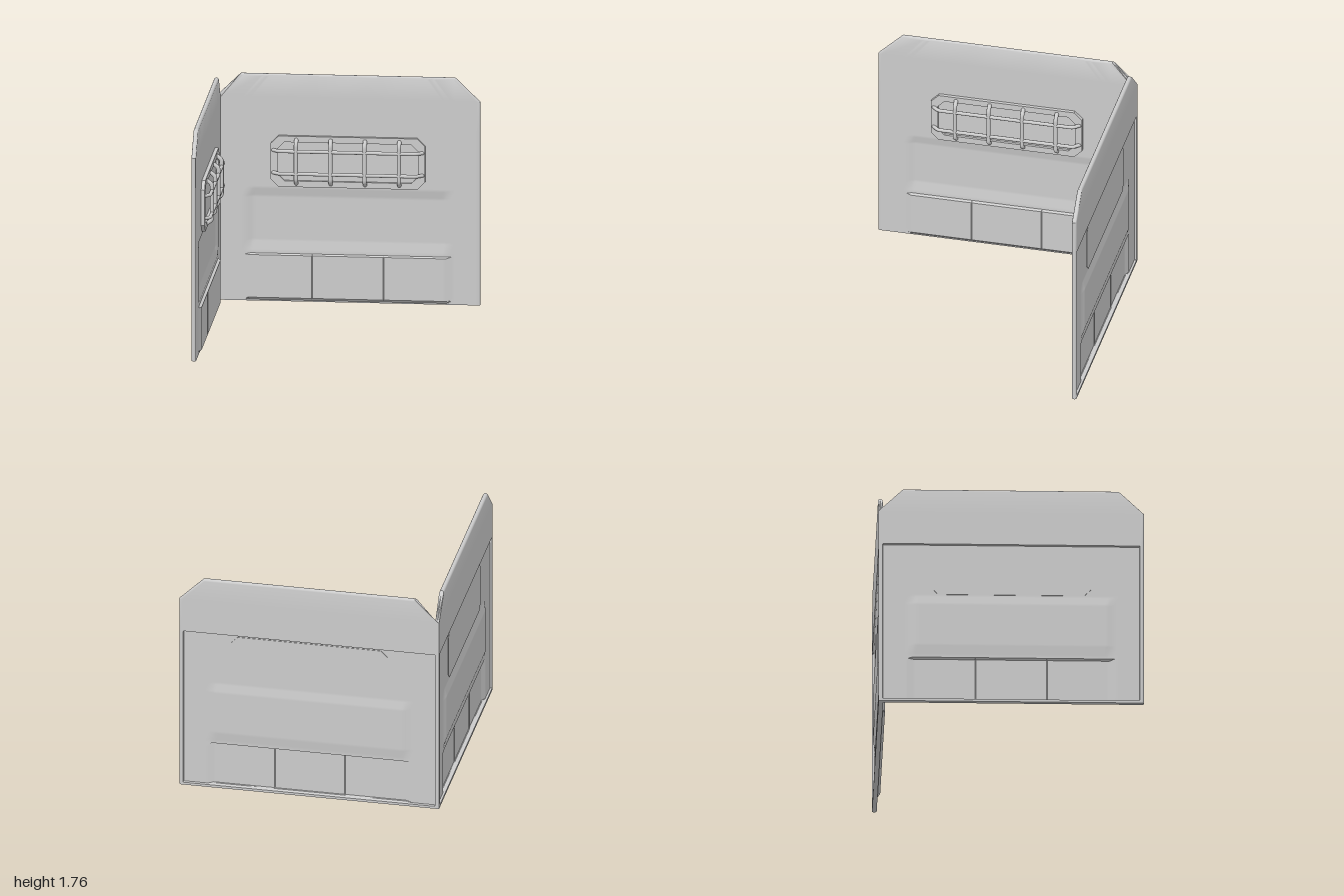
import * as THREE from 'three';
import { toCreasedNormals } from 'three/addons/utils/BufferGeometryUtils.js';

const material = new THREE.MeshStandardMaterial({ color: 0xcccccc, side: THREE.DoubleSide });
const TOP = 1.76, R = 0.0175, FRONT = -0.965, BACK = -1, MID = (FRONT + BACK) / 2;

const ramp = (v, a, b) => Math.min(1, Math.max(0, (v - a) / (b - a)));
const span = (v, a, b, c, d) => ramp(v, a, b) * ramp(v, d, c);

function mesh(name, geometry) {
  const m = new THREE.Mesh(geometry, material);
  m.name = name;
  return m;
}

// Pressed relief of the sheet: a recessed band and a bulging lower section with seams
const band = (x, y) => ramp(Math.abs(x), 0.78, 0.72) * span(y, 0.4, 0.46, 0.82, 0.87);
function bulge(x, y) {
  const seam = 1 - 0.25 * ramp(Math.abs(Math.abs(x) - 0.27), 0.004, 0);
  return ramp(Math.abs(x), 0.78, 0.74) * span(y, 0.01, 0.03, 0.36, 0.37) * seam;
}
const insideRim = (x, y) => ramp(Math.abs(x), 0.97, 0.965) * span(y, 0.02, 0.025, 1.3, 1.305);
const frontZ = (x, y) => FRONT - 0.02 * band(x, y) + 0.02 * bulge(x, y);
const backZ = (x, y) => BACK + insideRim(x, y) * (0.015 - 0.015 * band(x, y) + 0.02 * bulge(x, y));

// Closed sheet built as stacked loops; the side facing the corner is mitred
function sheetGeometry(corner) {
  const arc = [0, 1, 2, 3, 4].map(i => i * Math.PI / 8);
  const half = [0, 0.266, 0.27, 0.274, 0.5, 0.7, 0.72, 0.74, 0.78, 0.8, 0.965, 0.97];
  const edge = s => s === corner
    ? [[s, 1], [s, 0]]
    : arc.map(a => [s * (1 - R + R * Math.sin(a)), Math.cos(a)]);
  const cols = [
    ...edge(-1).reverse(),
    ...half.slice(1).reverse().map(x => [-x, 1]),
    ...half.map(x => [x, 1]),
    ...edge(1),
  ];
  const loop = [...cols.map(c => [...c, frontZ]), ...cols.slice().reverse().map(c => [...c, backZ])];
  const rows = [
    [0, 0],
    ...[0, 0.01, 0.02, 0.025, 0.03, 0.05, 0.34, 0.36, 0.37, 0.4, 0.46, 0.48, 0.8, 0.82, 0.87, 0.89,
      1.28, 1.3, 1.305, 1.32, 1.575].map(y => [y, 1]),
    ...arc.map(a => [TOP - R + R * Math.sin(a), Math.cos(a)]),
  ];
  const pos = [], index = [], n = loop.length;
  rows.forEach(([y, fy], j) => {
    const width = 1 - 0.19 * ramp(y, 1.575, TOP);
    loop.forEach(([c, fx, depth], i) => {
      let x = c * width;
      const z = MID + (depth(x, y) - MID) * fx * fy;
      if (corner * x > -z) x = -corner * z;
      pos.push(x, y, z);
      if (j < rows.length - 1) {
        const a = j * n + i, b = j * n + (i + 1) % n;
        index.push(a, b, b + n, a, b + n, a + n);
      }
    });
  });
  const g = new THREE.BufferGeometry();
  g.setAttribute('position', new THREE.Float32BufferAttribute(pos, 3));
  g.setIndex(index);
  return toCreasedNormals(g, 0.6);
}

// Rectangle with cut corners, centred on the window
function cutRect(Type, w, h, cut) {
  const cy = 1.09, pts = [];
  for (const [sx, sy] of [[1, -1], [1, 1], [-1, 1], [-1, -1]]) {
    const a = new THREE.Vector2(sx * (w - cut), cy + sy * h);
    const b = new THREE.Vector2(sx * w, cy + sy * (h - cut));
    pts.push(...(sx * sy < 0 ? [a, b] : [b, a]));
  }
  return new Type(pts);
}

function plate(name, shape, z0, z1) {
  const g = new THREE.ExtrudeGeometry(shape, { depth: z1 - z0, bevelEnabled: false });
  return mesh(name, g.translate(0, 0, z0));
}

function bar(name, points, radius) {
  const path = new THREE.CurvePath();
  const v = points.map(p => new THREE.Vector3(...p));
  // Straight runs joined by short rounded bends
  let start = v[0];
  for (let i = 1; i < v.length - 1; i++) {
    const before = v[i].clone().add(v[i - 1].clone().sub(v[i]).setLength(0.02));
    const after = v[i].clone().add(v[i + 1].clone().sub(v[i]).setLength(0.02));
    path.add(new THREE.LineCurve3(start, before));
    path.add(new THREE.QuadraticBezierCurve3(before, v[i], after));
    start = after;
  }
  path.add(new THREE.LineCurve3(start, v[v.length - 1]));
  return mesh(name, new THREE.TubeGeometry(path, 120, radius, 10));
}

function wallPanel(name, corner) {
  const panel = new THREE.Group();
  panel.name = name;
  panel.add(mesh('sheet', sheetGeometry(corner)));

  // Window frame, pane and rear cover
  const frame = cutRect(THREE.Shape, 0.585, 0.197, 0.06);
  frame.holes.push(cutRect(THREE.Path, 0.53, 0.15, 0.05));
  panel.add(plate('windowFrame', frame, -0.97, -0.938));
  panel.add(plate('windowPane', cutRect(THREE.Shape, 0.54, 0.16, 0.05), -0.97, -0.958));
  panel.add(plate('rearWindowCover', cutRect(THREE.Shape, 0.6, 0.2, 0.05), -0.989, -0.98));

  // Guard cage
  const cage = new THREE.Group();
  cage.name = 'windowGuard';
  const base = -0.945, out = -0.902;
  for (const y of [1.003, 1.177]) {
    cage.add(bar('horizontalBar', [[-0.568, y, base], [-0.522, y, out], [0.522, y, out], [0.568, y, base]], 0.014));
  }
  for (const x of [-0.39, -0.13, 0.13, 0.39]) {
    cage.add(bar('verticalBar', [[x, 0.92, base], [x, 0.95, out], [x, 1.23, out], [x, 1.26, base]], 0.016));
  }
  panel.add(cage);
  return panel;
}

export function createModel() {
  const model = new THREE.Group();
  model.name = 'cornerWall';
  const side = wallPanel('sidePanel', 1);
  side.rotation.y = Math.PI / 2;
  model.add(wallPanel('backPanel', -1), side);
  return model;
}
